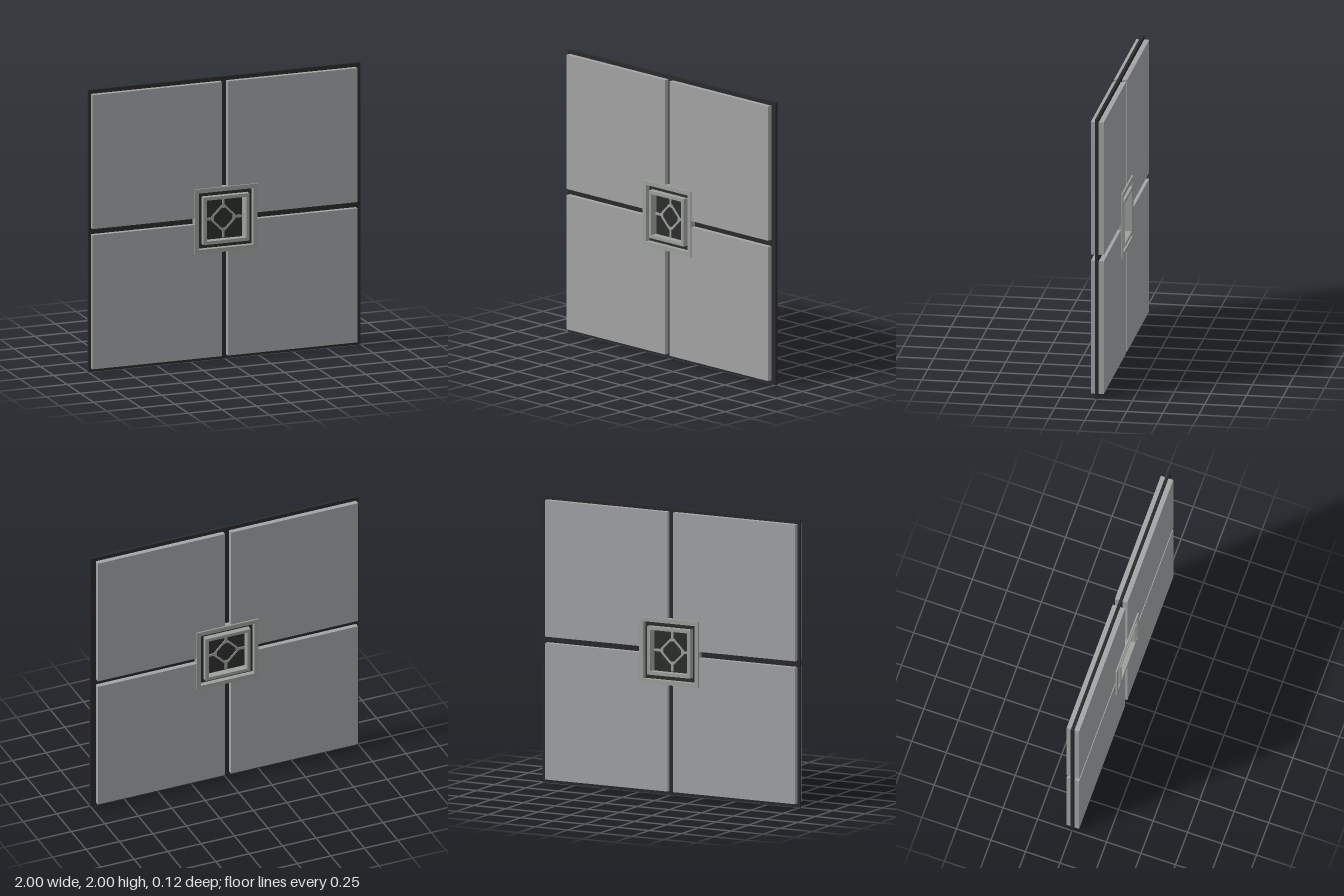
import * as THREE from 'three';

const CX = -0.005; // panels and centre piece sit slightly off the sheet's middle
const CY = 1;

function material(name, color) {
  const m = new THREE.MeshStandardMaterial({ color });
  m.name = name;
  return m;
}

function polygon(points, Type = THREE.Shape) {
  return new Type(points.map(([x, y]) => new THREE.Vector2(x, y)));
}

function rectangle(x0, y0, x1, y1) {
  return [[x0, y0], [x1, y0], [x1, y1], [x0, y1]];
}

// Flat plate extruded evenly to both sides of z = 0
function plate(name, mat, outline, halfDepth, hole) {
  const shape = polygon(outline);
  if (hole) shape.holes.push(polygon([...hole].reverse(), THREE.Path));
  const geo = new THREE.ExtrudeGeometry(shape, { depth: halfDepth * 2, bevelEnabled: false });
  geo.translate(0, 0, -halfDepth);
  const mesh = new THREE.Mesh(geo, mat);
  mesh.name = name;
  return mesh;
}

// Square frame around the centre, given outer and inner half widths
function squareFrame(name, mat, outer, inner, halfDepth) {
  const square = (r) => rectangle(CX - r, CY - r, CX + r, CY + r);
  return plate(name, mat, square(outer), halfDepth, square(inner));
}

export function createModel() {
  const group = new THREE.Group();
  group.name = 'panelledWall';
  const panelGrey = material('panelGrey', 0xa3a4a5);
  const frameGrey = material('frameGrey', 0x9da19c);
  const dark = material('darkMetal', 0x2a2a2c);
  const wellDark = material('wellDark', 0x2c2e2c);

  // Thin dark core sheet with a square opening in the middle
  group.add(plate('coreSheet', dark, rectangle(-1, 0, 1, 2), 0.01,
    rectangle(CX - 0.15, CY - 0.15, CX + 0.15, CY + 0.15)));

  // Four thick panels, notched at the inner corner to clear the centre piece
  for (const sx of [-1, 1]) {
    for (const sy of [-1, 1]) {
      const a = 0.022, b = 0.972, n = 0.205;
      const corner = [[n, a], [b, a], [b, b], [a, b], [a, n], [n, n]];
      const outline = corner.map(([x, y]) => [-0.01 + sx * x, CY + sy * y]);
      group.add(plate('wallPanel', panelGrey, outline, 0.045));
    }
  }

  // Centre piece: two raised frames with a dark channel between them
  const centre = new THREE.Group();
  centre.name = 'centrePiece';
  centre.add(squareFrame('outerFrame', frameGrey, 0.23, 0.2, 0.056));
  centre.add(squareFrame('frameChannel', wellDark, 0.2, 0.165, 0.02));
  centre.add(squareFrame('innerFrame', frameGrey, 0.168, 0.145, 0.06));

  // Dark plate in the well, leaving a narrow slit on one side
  centre.add(plate('wellPlate', wellDark,
    rectangle(CX - 0.148, CY - 0.148, 0.13, CY + 0.148), 0.01));

  // Diamond grille with four spokes
  const octagon = (r, c) => [[r, -c], [r, c], [c, r], [-c, r], [-c, -r * -1], [-r, c], [-r, -c], [-c, -r], [c, -r]]
    .filter((p, i) => i !== 4).map(([x, y]) => [-0.01 + x, CY + y]);
  centre.add(plate('grilleRing', frameGrey, octagon(0.09, 0.014), 0.016, octagon(0.07, 0.014)));
  for (let i = 0; i < 4; i++) {
    const spoke = new THREE.Mesh(new THREE.BoxGeometry(0.056, 0.018, 0.032), frameGrey);
    const angle = i * Math.PI / 2;
    spoke.position.set(-0.01 + 0.112 * Math.cos(angle), CY + 0.112 * Math.sin(angle), 0);
    spoke.rotation.z = angle;
    spoke.name = 'grilleSpoke';
    centre.add(spoke);
  }
  group.add(centre);
  return group;
}
